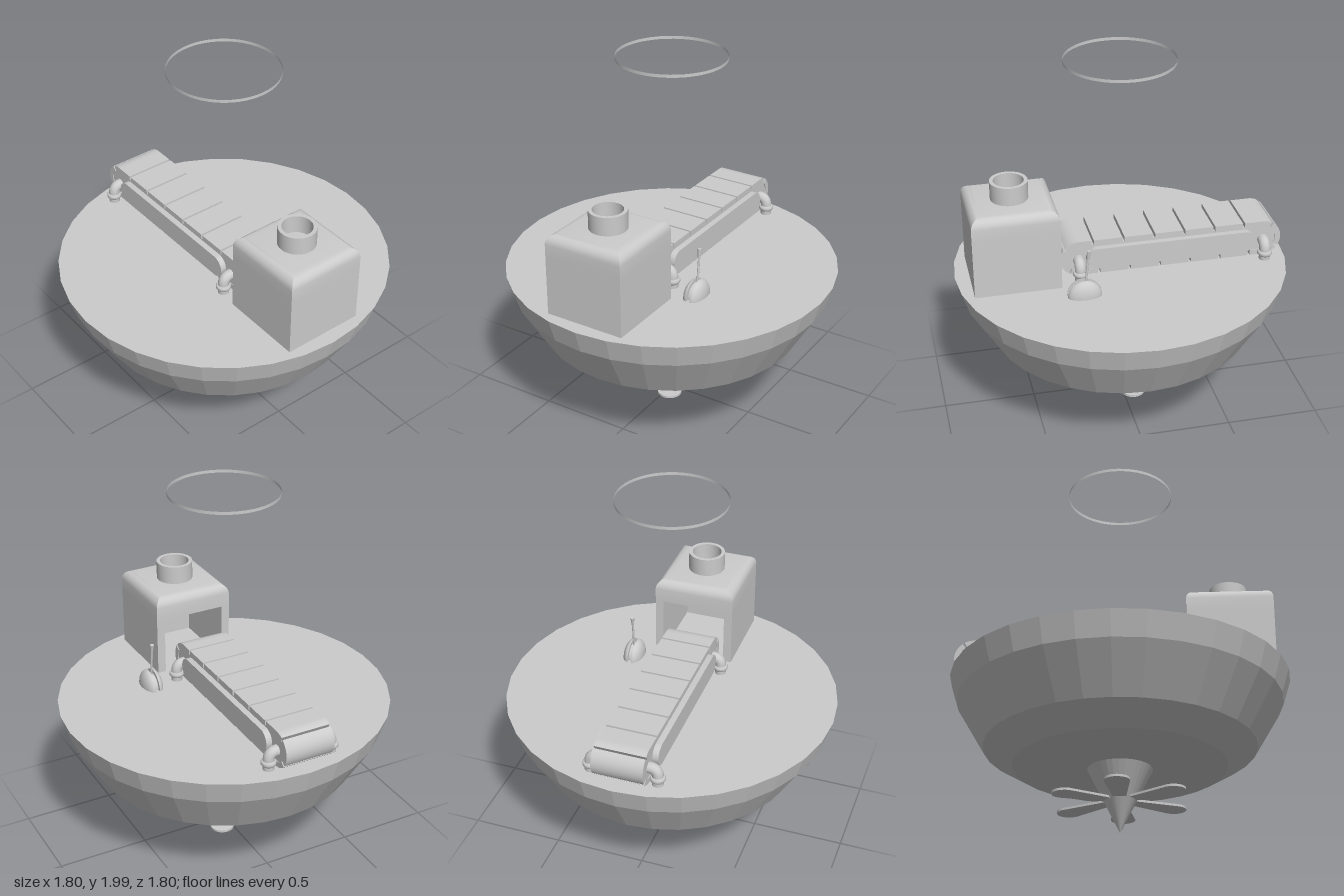
import * as THREE from 'three';
import { toCreasedNormals } from 'three/addons/utils/BufferGeometryUtils.js';

const smooth = new THREE.MeshStandardMaterial({ color: 0xcccccc });
const faceted = new THREE.MeshStandardMaterial({ color: 0xcccccc, flatShading: true });
const thin = new THREE.MeshStandardMaterial({ color: 0xcccccc, side: THREE.DoubleSide });

const DECK = 0.83;

function add(parent, name, geometry, material = smooth, x = 0, y = 0, z = 0) {
  const mesh = new THREE.Mesh(geometry, material);
  mesh.name = name;
  mesh.position.set(x, y, z);
  parent.add(mesh);
  return mesh;
}

function group(parent, name) {
  const g = new THREE.Group();
  g.name = name;
  parent.add(g);
  return g;
}

const lathe = (pts, n) => new THREE.LatheGeometry(pts.map(p => new THREE.Vector2(...p)), n);
const extrude = (shape, depth) =>
  toCreasedNormals(new THREE.ExtrudeGeometry(shape, { depth, bevelEnabled: false, curveSegments: 16 }), 0.45);

// Horizontal pill outline between two end centres
function pill(x0, x1, y, r) {
  const s = new THREE.Shape();
  s.absarc(x1, y, r, -Math.PI / 2, Math.PI / 2);
  s.absarc(x0, y, r, Math.PI / 2, Math.PI * 1.5);
  s.closePath();
  return s;
}

// Rectangular block with a rounded top edge, made from stacked loops with mitred corners
function roofGeometry(hx, hz, y0, y1, r) {
  const profile = [[0, y0]];
  for (let i = 0; i <= 5; i++) {
    const a = (i / 5) * Math.PI / 2;
    profile.push([r * (1 - Math.cos(a)), y1 - r + r * Math.sin(a)]);
  }
  const loops = profile.map(([d, y]) =>
    [[-1, 1], [1, 1], [1, -1], [-1, -1]].map(([sx, sz]) => [sx * (hx - d), y, sz * (hz - d)]));
  const pos = [];
  const quad = (a, b, c, d) => pos.push(...a, ...b, ...c, ...a, ...c, ...d);
  for (let i = 0; i < loops.length - 1; i++) {
    for (let k = 0; k < 4; k++) {
      const n = (k + 1) % 4;
      quad(loops[i][k], loops[i][n], loops[i + 1][n], loops[i + 1][k]);
    }
  }
  quad(...loops[loops.length - 1]);
  quad(...[...loops[0]].reverse());
  const g = new THREE.BufferGeometry();
  g.setAttribute('position', new THREE.Float32BufferAttribute(pos, 3));
  return toCreasedNormals(g, 0.5);
}

function buildPropeller(root) {
  const prop = group(root, 'propeller');
  add(prop, 'propellerCone', new THREE.CylinderGeometry(0.17, 0, 0.34, 32), faceted, 0, 0.18);
  const s = new THREE.Shape();
  s.moveTo(0, -0.025);
  s.lineTo(0.31, -0.065);
  s.absarc(0.315, 0, 0.065, -Math.PI / 2, Math.PI / 2);
  s.lineTo(0, 0.025);
  const blade = extrude(s, 0.012).rotateX(-Math.PI / 2);
  for (let i = 0; i < 6; i++) {
    const a = Math.PI / 6 + i * Math.PI / 3;
    const m = add(prop, 'blade', blade, smooth, 0, 0.18, 0);
    m.rotation.y = a;
    if (Math.cos(a) < -0.5) m.rotation.z = -0.03;
  }
}

function buildConveyor(root) {
  const conveyor = group(root, 'conveyor');
  const x0 = -0.77, x1 = 0.25, cy = 0.935, R = 0.1, L = x1 - x0, A = Math.PI * R;
  const total = 2 * (L + A);

  // Point on the belt loop at distance s, offset r from the axis
  const at = (s, r) => {
    s %= total;
    if (s < L) return new THREE.Vector2(x0 + s, cy + r);
    s -= L;
    if (s < A) return new THREE.Vector2(x1 + r * Math.sin(s / R), cy + r * Math.cos(s / R));
    s -= A;
    if (s < L) return new THREE.Vector2(x1 - s, cy - r);
    s -= L;
    return new THREE.Vector2(x0 - r * Math.sin(s / R), cy - r * Math.cos(s / R));
  };

  // Belt slabs
  const count = 16, pitch = total / count, gap = 0.012, steps = 10;
  for (let i = 0; i < count; i++) {
    const pts = [];
    const sAt = j => 0.11 + i * pitch + gap / 2 + (pitch - gap) * j / steps;
    for (let j = 0; j <= steps; j++) pts.push(at(sAt(j), R));
    for (let j = steps; j >= 0; j--) pts.push(at(sAt(j), 0.07));
    add(conveyor, 'beltSlab', extrude(new THREE.Shape(pts), 0.275), smooth, 0, 0, -0.12);
  }

  // Core and raised side panels
  add(conveyor, 'conveyorCore', extrude(pill(x0, x1, cy, 0.071), 0.265), smooth, 0, 0, -0.115);
  add(conveyor, 'sidePanel', extrude(pill(-0.66, 0.15, cy, 0.06), 0.33), smooth, 0, 0, -0.1475);

  // Bent pipe legs with flanges
  for (const x of [x0, x1]) {
    for (const side of [-1, 1]) {
      const z = d => 0.0175 + side * d;
      const path = new THREE.CurvePath();
      const v = (y, d) => new THREE.Vector3(x, y, z(d));
      path.add(new THREE.LineCurve3(v(0.925, 0.11), v(0.925, 0.14)));
      path.add(new THREE.QuadraticBezierCurve3(v(0.925, 0.14), v(0.925, 0.18), v(0.88, 0.18)));
      path.add(new THREE.LineCurve3(v(0.88, 0.18), v(DECK, 0.18)));
      add(conveyor, 'pipeLeg', new THREE.TubeGeometry(path, 20, 0.03, 16), thin);
      add(conveyor, 'pipeFlange', lathe([[0, -0.014], [0.034, -0.014], [0.04, -0.006], [0.04, 0.006],
        [0.034, 0.014], [0, 0.014]], 20), smooth, x, 0.868, z(0.18));
    }
  }
}

function buildFurnace(root) {
  const furnace = group(root, 'furnace');
  const cx = 0.59, hx = 0.23, hz = 0.2225, t = 0.046, split = 1.15;

  // Three walls and doorway posts, open toward the conveyor
  const plan = new THREE.Shape([
    [-hx, -hz], [hx, -hz], [hx, hz], [-hx, hz],
    [-hx, hz - t], [hx - t, hz - t], [hx - t, t - hz], [-hx, t - hz],
  ].map(p => new THREE.Vector2(...p)));
  add(furnace, 'furnaceWalls', extrude(plan, split - DECK).rotateX(-Math.PI / 2), smooth, cx, DECK);
  add(furnace, 'furnaceRoof', roofGeometry(hx, hz, split, 1.28, 0.055), smooth, cx);

  // Hollow chimney
  const tube = [[0.08, 1.27], [0.1, 1.27], [0.1, 1.38], [0.08, 1.38], [0.08, 1.27]];
  add(furnace, 'chimney', toCreasedNormals(lathe(tube, 32), 0.5), smooth, cx);
}

function buildLever(root) {
  const lever = group(root, 'lever');
  lever.position.set(0.26, DECK, -0.315);

  // Slotted dome in two halves around a smaller core
  for (const side of [-1, 1]) {
    const shell = add(lever, 'leverDome',
      new THREE.SphereGeometry(1, 24, 10, side > 0 ? 0 : Math.PI, Math.PI, 0, Math.PI / 2), thin, 0, 0, side * 0.011);
    shell.scale.set(0.09, 0.09, 0.045);
    add(lever, 'slotWall', new THREE.CircleGeometry(0.09, 24, 0, Math.PI), thin, 0, 0, side * 0.011);
  }
  add(lever, 'slotCore', new THREE.CylinderGeometry(0.07, 0.07, 0.022, 24, 1, false, -Math.PI / 2, Math.PI), thin)
    .rotation.set(-Math.PI / 2, 0, 0);

  // Leaning stick with a thicker grip
  const stick = group(lever, 'leverStick');
  stick.rotation.z = 0.1;
  add(stick, 'rod', new THREE.CylinderGeometry(0.006, 0.006, 0.24, 10), smooth, 0, 0.12);
  add(stick, 'grip', new THREE.CylinderGeometry(0.011, 0.007, 0.05, 12), smooth, 0, 0.235);
}

export function createModel() {
  const root = new THREE.Group();
  root.name = 'floatingWorkshop';

  // Faceted bowl hull with a flat deck
  add(root, 'hull', lathe([[0, 0.36], [0.56, 0.36], [0.715, 0.455], [0.86, 0.7], [0.9, DECK], [0, DECK]], 32), faceted);

  buildPropeller(root);
  buildConveyor(root);
  buildFurnace(root);
  buildLever(root);

  // Thin hovering ring
  add(root, 'ring', new THREE.CylinderGeometry(0.29, 0.29, 0.016, 48, 1, true), thin, 0, 1.992);
  return root;
}
